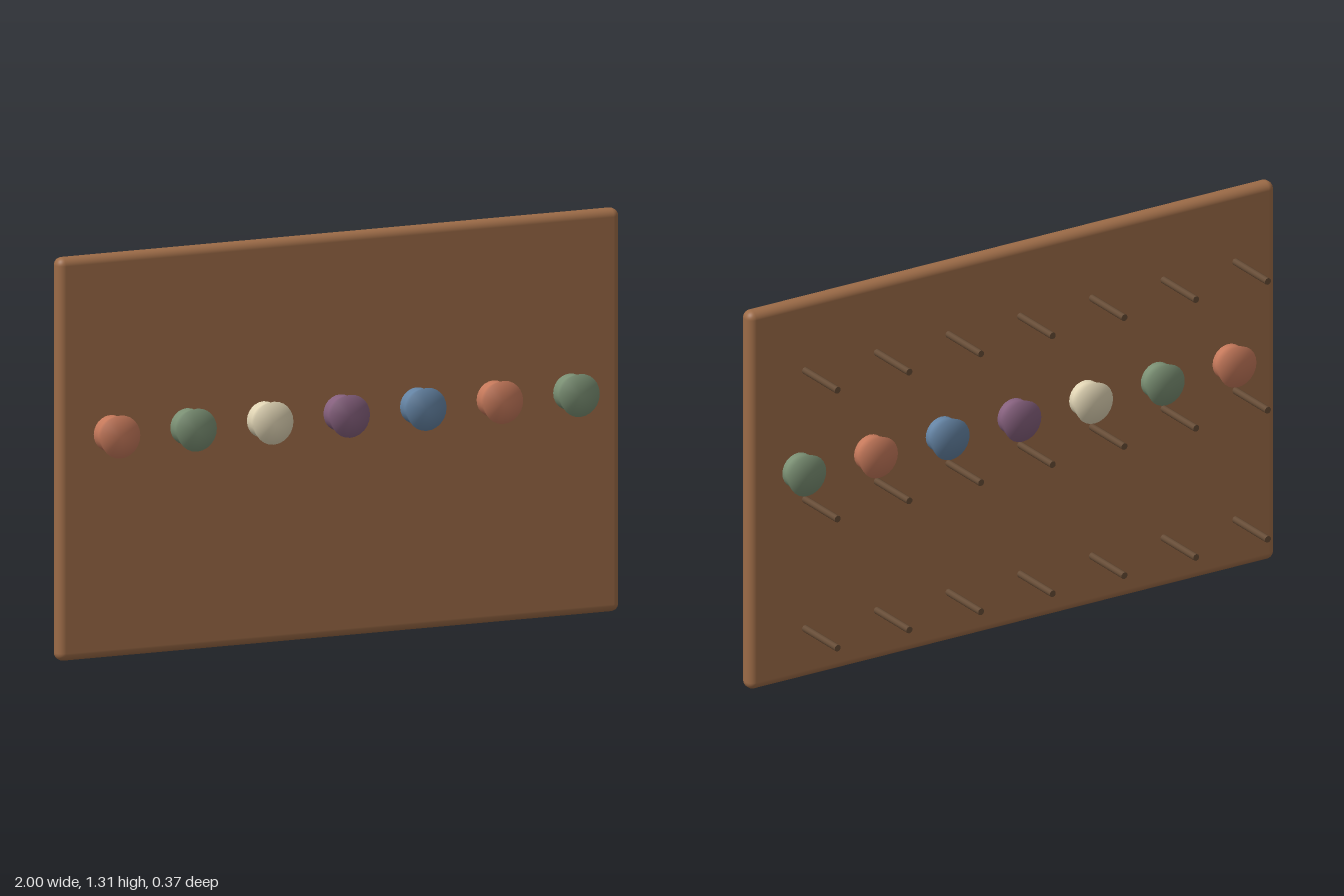
import * as THREE from 'three';
import { RoundedBoxGeometry } from 'three/addons/geometries/RoundedBoxGeometry.js';

function material(name, color) {
  const m = new THREE.MeshStandardMaterial({ color });
  m.name = name;
  return m;
}

export function createModel() {
  const group = new THREE.Group();
  const wood = material('boardWood', 0x9c6b47);
  const darkWood = material('pegWood', 0x654b35);
  const terracotta = material('terracotta', 0xc4785a);
  const sage = material('sage', 0x7a8f73);
  const cream = material('cream', 0xe0d4b4);
  const plum = material('plum', 0x85607d);
  const blue = material('blue', 0x6483a3);
  const spoolColors = [terracotta, sage, cream, plum, blue, terracotta, sage];

  const add = (name, geometry, mat, x, y, z) => {
    const mesh = new THREE.Mesh(geometry, mat);
    mesh.name = name;
    mesh.position.set(x, y, z);
    group.add(mesh);
  };

  // Upright board with softened edges
  add('board', new RoundedBoxGeometry(2, 1.31, 0.058, 4, 0.026), wood, 0, 0.655, 0.08);

  // Flared spool, axis along z, smooth across the end faces
  const profile = [
    [0, -0.096], [0.07, -0.096], [0.059, -0.056],
    [0.059, 0.056], [0.07, 0.096], [0, 0.096],
  ].map(([r, h]) => new THREE.Vector2(r, h));
  const spool = new THREE.LatheGeometry(profile, 24).rotateX(Math.PI / 2);

  // Thin peg, axis along z
  const peg = new THREE.CylinderGeometry(0.0115, 0.0115, 0.193, 10).rotateX(Math.PI / 2);

  // Seven columns: one spool and three pegs each
  spoolColors.forEach((color, i) => {
    const x = (i - 3) * 0.2725;
    add('spool', spool, color, x, 0.73, 0.088);
    for (const y of [0.195, 0.643, 1.09]) add('peg', peg, darkWood, x, y, -0.0875);
  });

  return group;
}
